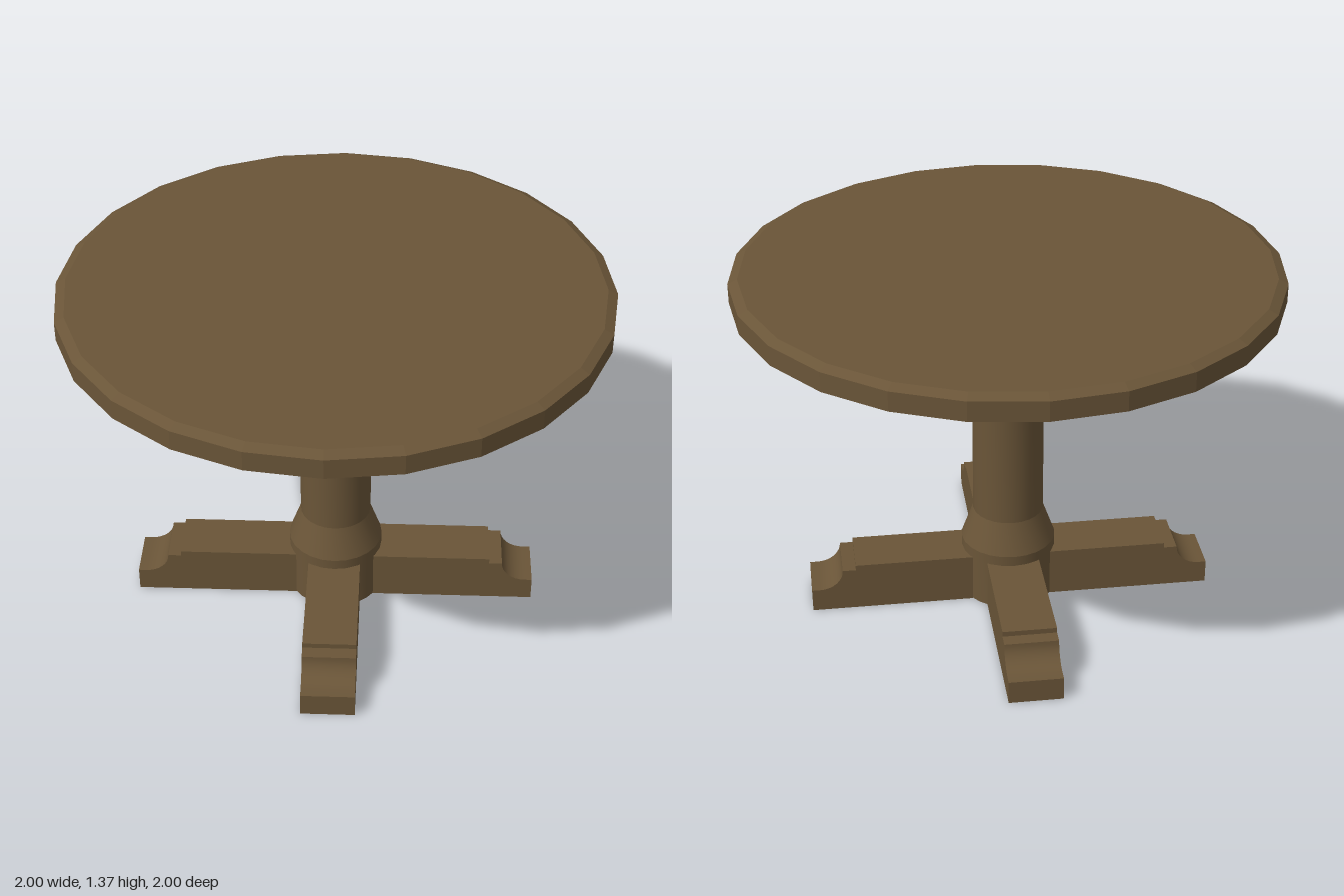
import * as THREE from 'three';
import { mergeGeometries, toCreasedNormals } from 'three/addons/utils/BufferGeometryUtils.js';

const SIDES = 24;
const v2 = (x, y) => new THREE.Vector2(x, y);

function part(name, geometry, material) {
  const mesh = new THREE.Mesh(geometry, material);
  mesh.name = name;
  return mesh;
}

// Foot outline: flat top, small step, hollow cove, low toe
function footProfile() {
  const pts = [v2(0.15, 0.19), v2(0.6, 0.19), v2(0.6, 0.17), v2(0.65, 0.17)];
  for (let i = 1; i <= 8; i++) {
    const a = (i / 8) * Math.PI / 2;
    pts.push(v2(0.74 - 0.09 * Math.cos(a), 0.17 - 0.08 * Math.sin(a)));
  }
  pts.push(v2(0.77, 0.09), v2(0.77, 0));
  return pts;
}

// Hollow foot: a ribbon over the profile plus two side panels, open below
function footGeometry(halfWidth) {
  const profile = footProfile();
  const n = profile.length;
  const ribbon = new THREE.PlaneGeometry(1, 1, n - 1, 1);
  const pos = ribbon.attributes.position;
  for (let i = 0; i < pos.count; i++) {
    const p = profile[i % n];
    pos.setXYZ(i, p.x, p.y, i < n ? -halfWidth : halfWidth);
  }
  const outline = new THREE.Shape([v2(0.15, 0), ...profile]);
  const front = new THREE.ShapeGeometry(outline).translate(0, 0, halfWidth);
  const back = new THREE.ShapeGeometry(outline).translate(0, 0, -halfWidth);
  // Reverse the corners so the back panel faces outward
  back.setIndex(Array.from(back.index.array).reverse());
  const pieces = [ribbon, front, back].map((g) => g.toNonIndexed());
  return toCreasedNormals(mergeGeometries(pieces), 0.5);
}

export function createModel() {
  const table = new THREE.Group();
  table.name = 'pedestalTable';

  const wood = new THREE.MeshStandardMaterial({ color: 0x6a5538, side: THREE.DoubleSide });
  wood.name = 'brown wood';

  // Faceted round top with a bevelled upper rim
  const top = new THREE.LatheGeometry(
    [v2(0, 1.28), v2(1, 1.28), v2(1, 1.353), v2(0.965, 1.37), v2(0, 1.37)], SIDES);
  table.add(part('tableTop', toCreasedNormals(top, 0.1), wood));

  // Column with a flared base collar, open underneath
  const column = new THREE.LatheGeometry(
    [v2(0.18, 0), v2(0.18, 0.23), v2(0.135, 0.355), v2(0.135, 1.28)], SIDES);
  table.add(part('column', toCreasedNormals(column, 0.3), wood));

  // Four feet in a cross
  const foot = footGeometry(0.1);
  ['left', 'back', 'right', 'front'].forEach((side, i) => {
    const mesh = part(side + 'Foot', foot, wood);
    mesh.rotation.y = i * Math.PI / 2;
    table.add(mesh);
  });
  return table;
}
